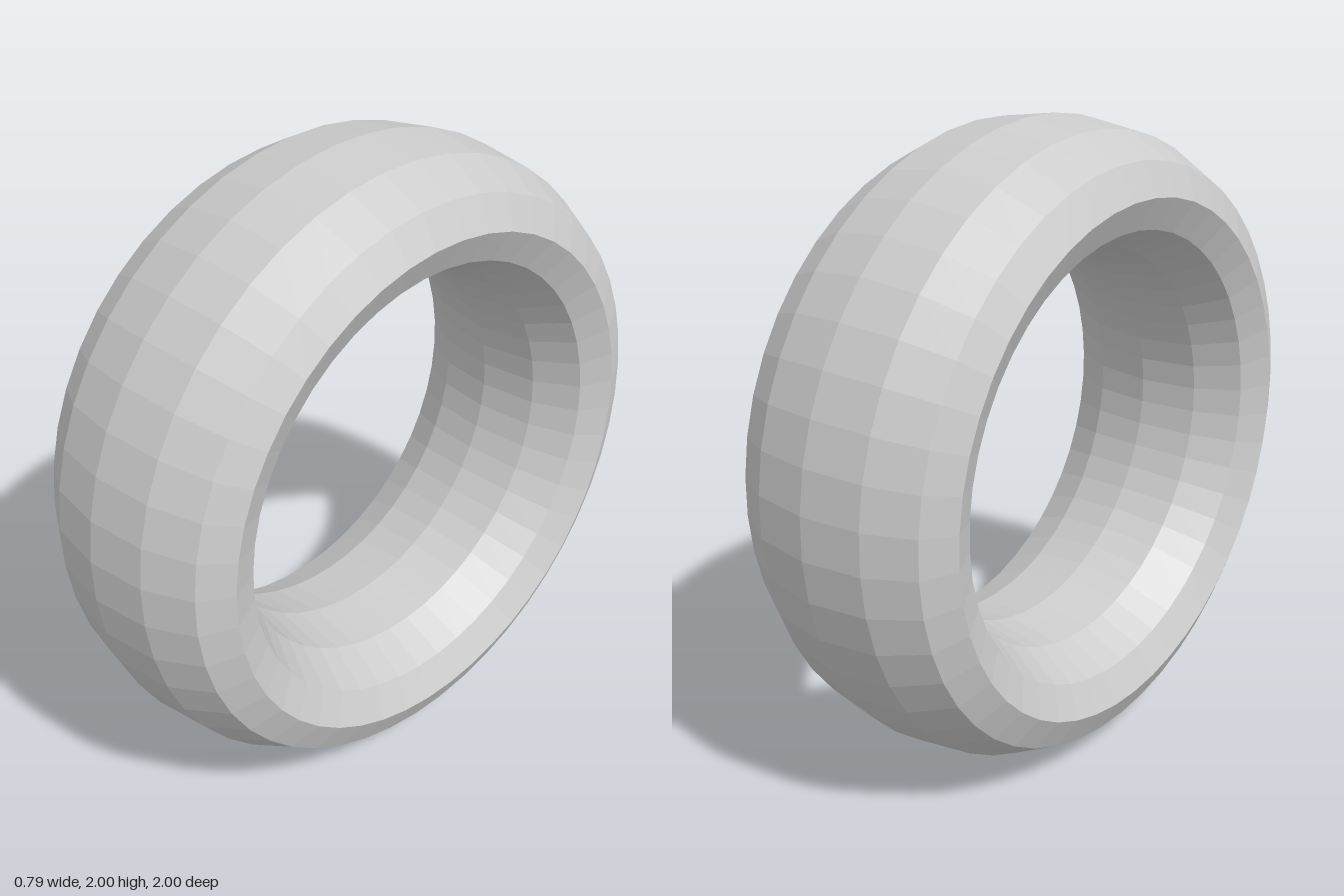
import * as THREE from 'three';

export function createModel() {
  const model = new THREE.Group();
  const segments = 48;

  // Faceted ring with a 12-sided elliptical section, its flats at top and bottom
  const geometry = new THREE.TorusGeometry(0.8, 0.2, 12, segments);
  geometry.rotateZ(Math.PI / segments);
  const k = 1 / Math.cos(Math.PI / segments);
  geometry.scale(k, k, 1.895);
  geometry.rotateY(Math.PI / 2);

  const tire = new THREE.Mesh(
    geometry,
    new THREE.MeshStandardMaterial({ color: 0xcccccc, flatShading: true })
  );
  tire.name = 'tire';

  // Slight lean and turn
  tire.rotation.set(0, THREE.MathUtils.degToRad(-0.3), THREE.MathUtils.degToRad(1.05));
  tire.position.y = 1;
  model.add(tire);
  return model;
}
